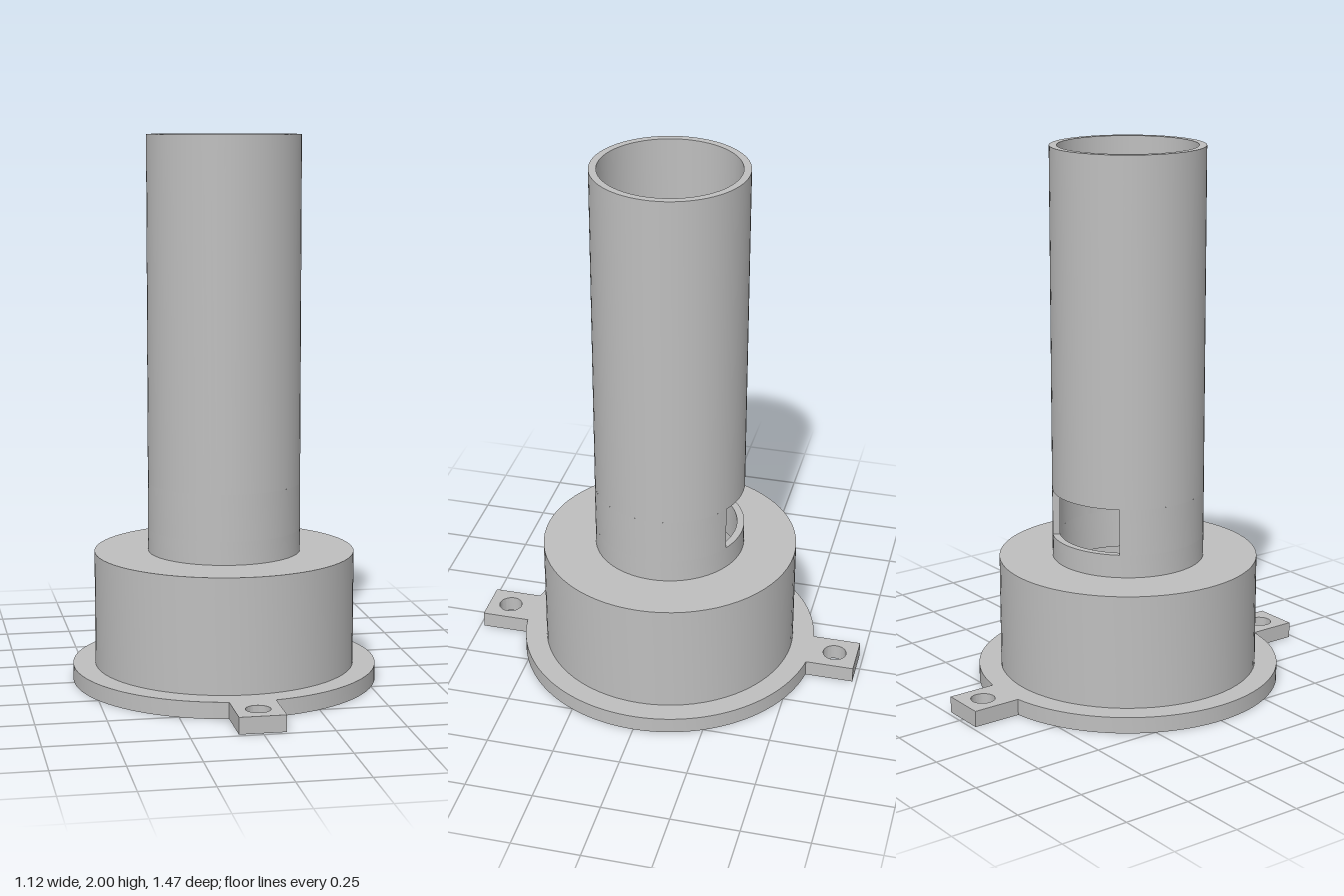
import * as THREE from 'three';
import { toCreasedNormals } from 'three/addons/utils/BufferGeometryUtils.js';

const FLANGE_R = 0.56, FLANGE_H = 0.06;
const HOUSING_R = 0.478, HOUSING_IN = 0.425, HOUSING_TOP = 0.48, CEILING = 0.42;
const TUBE_R = 0.28, TUBE_IN = 0.253, TOP = 2;
const WIN_LOW = 0.565, WIN_HIGH = 0.735;
const WIN_START = THREE.MathUtils.degToRad(151.5), WIN_END = THREE.MathUtils.degToRad(227);

export function createModel() {
  const group = new THREE.Group();
  const grey = new THREE.MeshStandardMaterial({ color: 0xbebebe, side: THREE.DoubleSide });
  grey.name = 'plain grey';

  const add = (name, geometry) => {
    const mesh = new THREE.Mesh(geometry, grey);
    mesh.name = name;
    group.add(mesh);
    return mesh;
  };
  // Turned part with sharp rims; profile runs up the outside, down the inside
  const turn = (profile, start = 0, length = Math.PI * 2) => toCreasedNormals(
    new THREE.LatheGeometry(profile.map(([r, y]) => new THREE.Vector2(r, y)), 72, start, length), 0.6);

  // Flange with front and back mounting tabs
  const tabW = 0.083, tabEnd = 0.735;
  const a = Math.acos(tabW / FLANGE_R);
  const shape = new THREE.Shape();
  shape.absarc(0, 0, FLANGE_R, -a, a, false);
  shape.lineTo(tabW, tabEnd);
  shape.lineTo(-tabW, tabEnd);
  shape.absarc(0, 0, FLANGE_R, Math.PI - a, Math.PI + a, false);
  shape.lineTo(-tabW, -tabEnd);
  shape.lineTo(tabW, -tabEnd);
  shape.closePath();
  for (const [y, r] of [[0, HOUSING_IN], [0.65, 0.044], [-0.65, 0.044]]) {
    shape.holes.push(new THREE.Path().absarc(0, y, r, 0, Math.PI * 2, true));
  }
  const flange = new THREE.ExtrudeGeometry(shape, { depth: FLANGE_H, bevelEnabled: false, curveSegments: 36 });
  flange.rotateX(-Math.PI / 2);
  add('flange', toCreasedNormals(flange, 0.6));

  // Hollow housing, its top plate and the tube up to the window sill
  add('housing', turn([
    [HOUSING_R, FLANGE_H], [HOUSING_R, HOUSING_TOP], [TUBE_R, HOUSING_TOP], [TUBE_R, WIN_LOW],
    [TUBE_IN, WIN_LOW], [TUBE_IN, CEILING], [HOUSING_IN, CEILING], [HOUSING_IN, FLANGE_H],
  ]));

  // Tube wall beside the window, left open across the back
  const wallLength = Math.PI * 2 - (WIN_END - WIN_START);
  add('windowWallOutside', turn([[TUBE_R, WIN_LOW], [TUBE_R, WIN_HIGH]], WIN_END, wallLength));
  add('windowWallInside', turn([[TUBE_IN, WIN_HIGH], [TUBE_IN, WIN_LOW]], WIN_END, wallLength));

  // Window jambs closing the wall thickness
  for (const [name, angle] of [['leftJamb', WIN_START], ['rightJamb', WIN_END]]) {
    const jamb = add(name, new THREE.PlaneGeometry(TUBE_R - TUBE_IN, WIN_HIGH - WIN_LOW));
    const r = (TUBE_R + TUBE_IN) / 2;
    jamb.position.set(r * Math.sin(angle), (WIN_LOW + WIN_HIGH) / 2, r * Math.cos(angle));
    jamb.rotation.y = angle - Math.PI / 2;
  }

  // Tube above the window
  add('upperTube', turn([
    [TUBE_R, WIN_HIGH], [TUBE_R, TOP], [TUBE_IN, TOP], [TUBE_IN, WIN_HIGH], [TUBE_R, WIN_HIGH],
  ]));
  return group;
}
